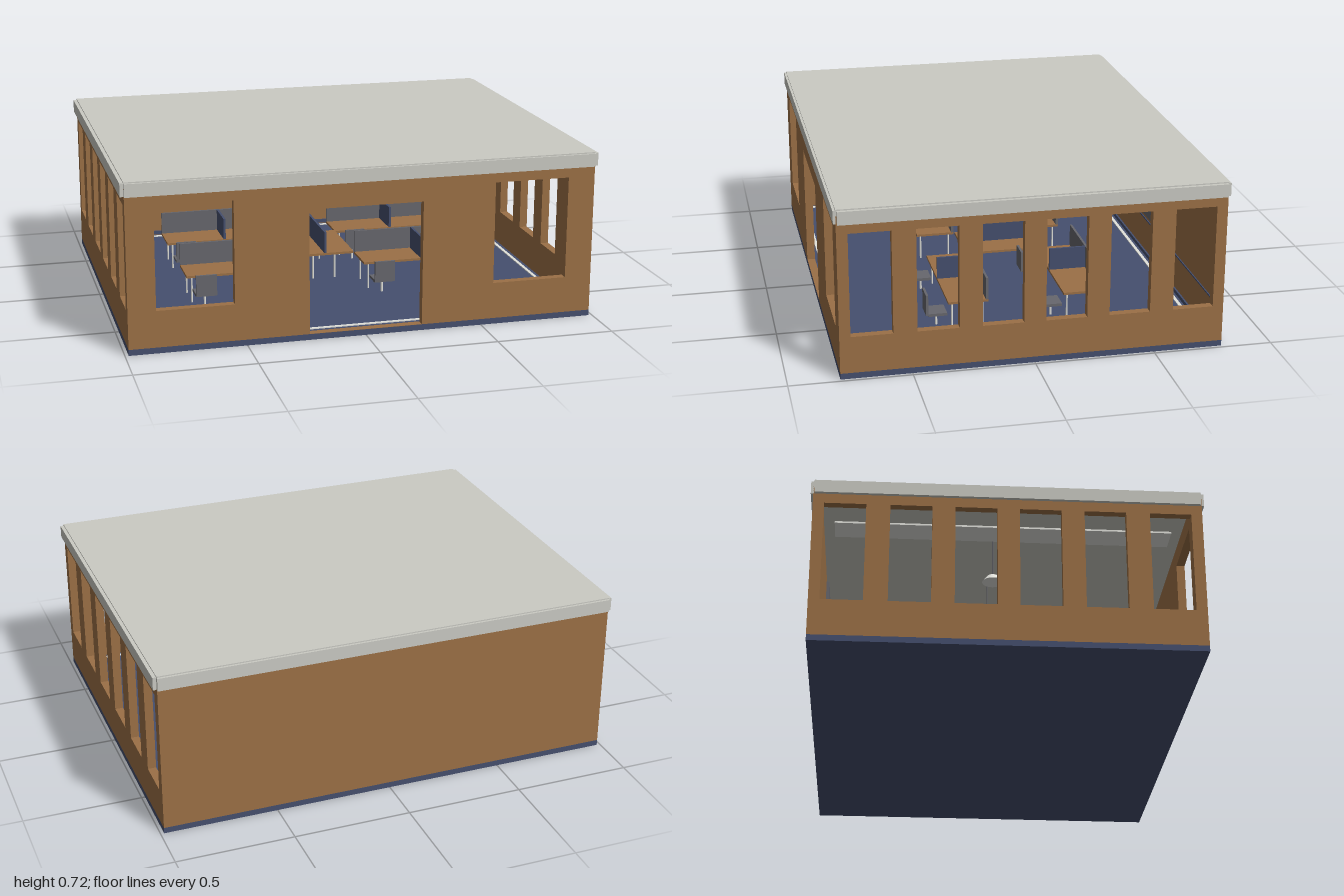
import * as THREE from 'three';

const mat = (name, color, extra = {}) => {
  const m = new THREE.MeshStandardMaterial({ color, ...extra });
  m.name = name;
  return m;
};

export function createModel() {
  const brown = mat('wood brown', 0x9b7046);
  const blue = mat('slate blue', 0x454f6e);
  const grey = mat('dark grey', 0x67676d);
  const pale = mat('pale grey', 0xcacac3);
  const white = mat('white', 0xe2e2dc);
  const model = new THREE.Group();
  model.name = 'classroom';

  // box given by its limits on each axis
  const box = (name, m, x0, x1, y0, y1, z0, z1, parent = model) => {
    const mesh = new THREE.Mesh(new THREE.BoxGeometry(x1 - x0, y1 - y0, z1 - z0), m);
    mesh.position.set((x0 + x1) / 2, (y0 + y1) / 2, (z0 + z1) / 2);
    mesh.name = name;
    parent.add(mesh);
    return mesh;
  };
  const rod = (name, m, r, x, y0, y1, z, parent = model) => {
    const mesh = new THREE.Mesh(new THREE.CylinderGeometry(r, r, y1 - y0, 8), m);
    mesh.position.set(x, (y0 + y1) / 2, z);
    mesh.name = name;
    parent.add(mesh);
  };

  const X = 0.985, Z = 0.79, F = 0.025, T = 0.035;

  // upright wall with rectangular openings [u0, u1, y0, y1]
  const wall = (name, half, openings) => {
    const rect = (target, a, b, c, d) => {
      target.moveTo(a, c);
      target.lineTo(b, c);
      target.lineTo(b, d);
      target.lineTo(a, d);
      target.closePath();
      return target;
    };
    const s = rect(new THREE.Shape(), -half, half, F, 0.69);
    s.holes = openings.map(([a, b, c, d]) => rect(new THREE.Path(), a, b, c, d));
    const mesh = new THREE.Mesh(new THREE.ExtrudeGeometry(s, { depth: T, bevelEnabled: false }), brown);
    mesh.name = name;
    model.add(mesh);
    return mesh;
  };

  // walls
  wall('frontWall', X, [
    [-0.87, -0.55, 0.18, 0.615],
    [-0.24, 0.24, F + 0.001, 0.555],
    [0.55, 0.87, 0.18, 0.615],
  ]).position.z = Z - T;
  wall('backWall', X, []).position.z = -Z;
  const sideOpenings = [-0.66, -0.393, -0.13, 0.13, 0.393, 0.66]
    .map((c) => [c - 0.085, c + 0.085, 0.18, 0.615]);
  for (const s of [-1, 1]) {
    const side = wall(s > 0 ? 'leftWall' : 'rightWall', Z - T, sideOpenings);
    side.rotation.y = Math.PI / 2;
    side.position.x = s > 0 ? X - T : -X;
  }

  // floor with a pale border line
  box('floor', blue, -X, X, 0, F, -Z, Z);
  for (const s of [-1, 1]) {
    const bx = s * 0.925, bz = s * 0.73;
    box('floorBorder', white, -0.932, 0.932, F, F + 0.004, bz - 0.007, bz + 0.007);
    box('floorBorder', white, bx - 0.007, bx + 0.007, F, F + 0.004, -0.723, 0.723);
  }

  // roof slab and fascia boards
  box('roof', pale, -X, X, 0.69, 0.717, -Z, Z);
  for (const s of [-1, 1]) {
    const fz = s * 0.7935, fx = s * 0.992;
    box('fascia', pale, -X, X, 0.657, 0.712, fz - 0.0065, fz + 0.0065);
    box('fascia', pale, fx - 0.008, fx + 0.008, 0.657, 0.712, -0.785, 0.785);
    box('ceilingLight', white, s * 0.65 - 0.06, s * 0.65 + 0.06, 0.682, 0.69, -0.71, 0.71);
  }

  // board, rail and skirting on the back wall
  box('board', grey, -0.42, 0.42, 0.24, 0.555, -0.745, -0.733);
  box('wallRail', blue, -0.95, 0.95, 0.197, 0.203, -0.755, -0.75);
  box('skirting', blue, -0.95, 0.95, 0.03, 0.047, -0.755, -0.747);

  // double desk with a back screen and a dividing screen
  const desk = (x, z0, z1) => {
    const g = new THREE.Group();
    g.name = 'doubleDesk';
    box('deskTop', brown, x - 0.265, x + 0.265, 0.14, 0.15, z0, z1, g);
    box('backScreen', grey, x - 0.265, x + 0.265, 0.15, 0.247, z0, z0 + 0.01, g);
    box('divider', blue, x - 0.005, x + 0.005, 0.15, 0.247, z0 + 0.01, z1, g);
    for (const dx of [-0.24, 0.24])
      for (const z of [z0 + 0.02, z1 - 0.02]) rod('deskLeg', white, 0.004, x + dx, F, 0.14, z, g);
    model.add(g);
  };

  // chair facing the back of the room
  const chair = (x, z) => {
    const g = new THREE.Group();
    g.name = 'chair';
    box('chairSeat', grey, x - 0.045, x + 0.045, 0.08, 0.092, z - 0.08, z, g);
    box('chairBack', grey, x - 0.045, x + 0.045, 0.085, 0.177, z, z + 0.01, g);
    rod('chairLeg', white, 0.005, x, F, 0.08, z - 0.04, g);
    model.add(g);
  };

  for (const s of [-1, 1]) {
    for (const z of [0.125, -0.37]) {
      desk(s * 0.395, z, z + 0.17);
      for (const x of [0.2, 0.59]) chair(s * x, z + 0.25);
    }
  }

  // middle table with a dividing screen
  box('middleTable', brown, -0.13, 0.13, 0.14, 0.15, -0.22, 0.12);
  box('middleDivider', blue, -0.005, 0.005, 0.15, 0.247, -0.22, 0.12);
  for (const x of [-0.05, 0.05])
    for (const z of [-0.19, 0.09]) rod('tableLeg', white, 0.004, x, F, 0.14, z);

  // hanging lamps
  const shade = new THREE.CylinderGeometry(0.022, 0.045, 0.028, 20);
  for (const x of [-0.59, -0.2, 0.2, 0.59]) {
    const lamp = new THREE.Mesh(shade, white);
    lamp.name = 'lampShade';
    lamp.position.set(x, 0.5, -0.04);
    model.add(lamp);
    rod('lampCord', grey, 0.003, x, 0.51, 0.69, -0.04);
  }
  return model;
}
